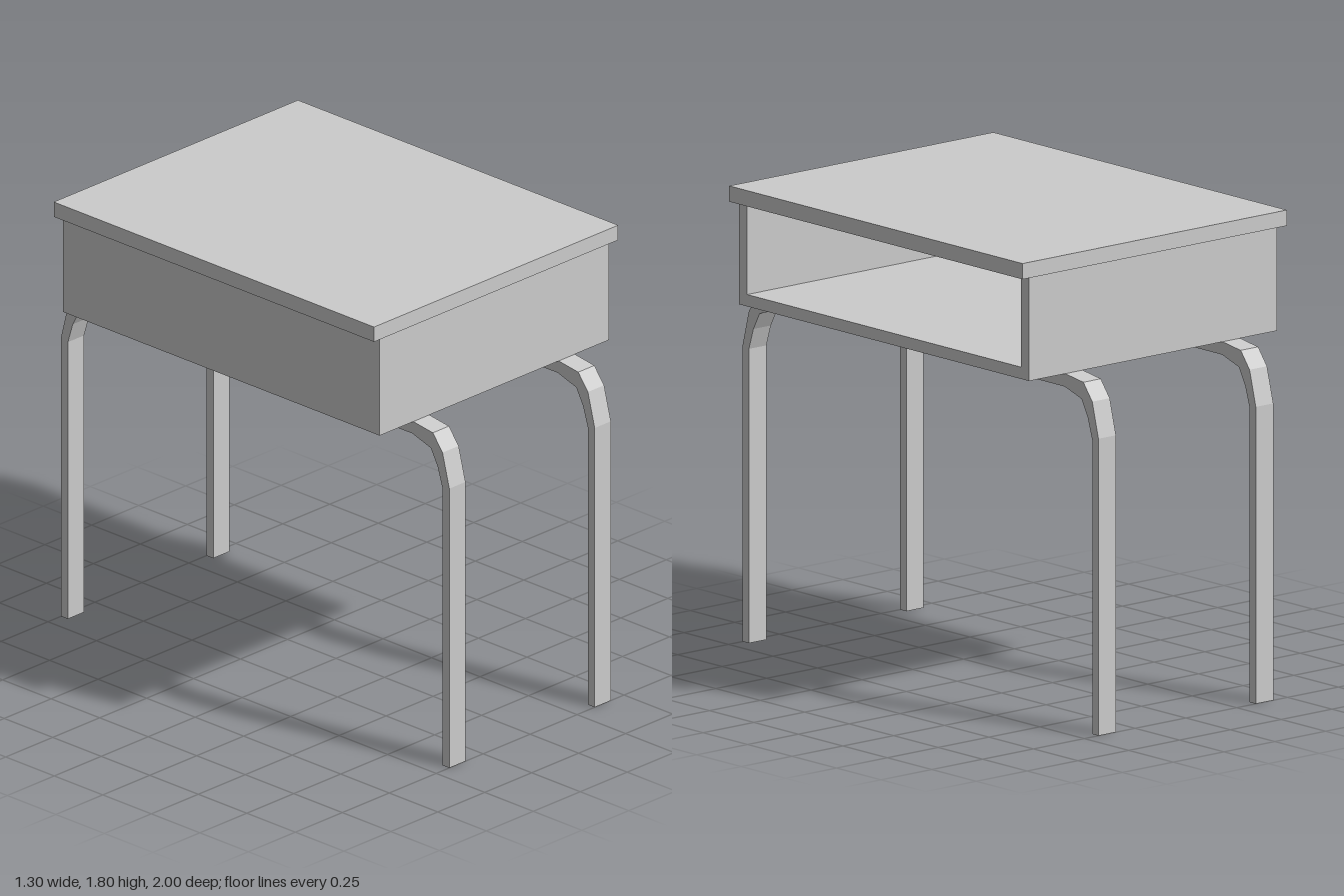
import * as THREE from 'three';

const grey = new THREE.MeshStandardMaterial({ color: 0xcccccc, flatShading: true });

function addMesh(group, name, geometry) {
  const mesh = new THREE.Mesh(geometry, grey);
  mesh.name = name;
  group.add(mesh);
  return mesh;
}

// Extrudes a side profile (z, y) along x from x0 to x1; profiles are symmetric in z.
function extrudeAlongX(shape, x0, x1) {
  return new THREE.ExtrudeGeometry(shape, { depth: x1 - x0, bevelEnabled: false })
    .rotateY(Math.PI / 2)
    .translate(x0, 0, 0);
}

const rectangle = (w, y0, y1) => [[-w, y0], [w, y0], [w, y1], [-w, y1]].map(p => new THREE.Vector2(...p));

// Bent strap: one half of the outer and inner outline, mirrored across z = 0.
function strapShape() {
  const outer = [[1, 0], [1, 1.13], [0.965, 1.265], [0.915, 1.33], [0.81, 1.345]];
  const inner = [[0.965, 0], [0.965, 1.12], [0.94, 1.2], [0.905, 1.265], [0.81, 1.295]];
  const mirror = pts => pts.map(([z, y]) => [-z, y]);
  const outline = [
    ...outer,
    ...mirror(outer).reverse(),
    ...mirror(inner),
    ...[...inner].reverse(),
  ];
  return new THREE.Shape(outline.map(p => new THREE.Vector2(...p)));
}

// Small sloping lip below the lid edge, leading into the opening.
function lipGeometry() {
  const lo = 1.727, hi = 1.74;
  const v = [
    [0.65, hi, 0.825], [0.61, hi, 0.815], [0.61, lo, 0.77],
    [0.65, hi, -0.825], [0.61, hi, -0.815], [0.61, lo, -0.77],
  ];
  const geometry = new THREE.BufferGeometry();
  geometry.setAttribute('position', new THREE.Float32BufferAttribute(v.flat(), 3));
  geometry.setIndex([0, 1, 2, 3, 5, 4, 0, 2, 5, 0, 5, 3]);
  const flat = geometry.toNonIndexed();
  flat.computeVertexNormals();
  return flat;
}

export function createModel() {
  const desk = new THREE.Group();
  desk.name = 'desk';

  // Desk top
  addMesh(desk, 'deskTop', new THREE.BoxGeometry(1.3, 0.06, 1.65)).position.y = 1.77;
  addMesh(desk, 'openingLip', lipGeometry());

  // Storage box, open towards +x
  const frame = new THREE.Shape(rectangle(0.815, 1.345, 1.74));
  frame.holes.push(new THREE.Path(rectangle(0.77, 1.39, 1.727)));
  addMesh(desk, 'storageBox', extrudeAlongX(frame, -0.57, 0.61));
  addMesh(desk, 'closedSide', extrudeAlongX(new THREE.Shape(rectangle(0.815, 1.345, 1.74)), -0.61, -0.57));

  // Two bent straps, each forming a front and a back leg
  for (const side of [-1, 1]) {
    const x = side * 0.387;
    addMesh(desk, side > 0 ? 'leftLegs' : 'rightLegs', extrudeAlongX(strapShape(), x - 0.043, x + 0.043));
  }
  return desk;
}
